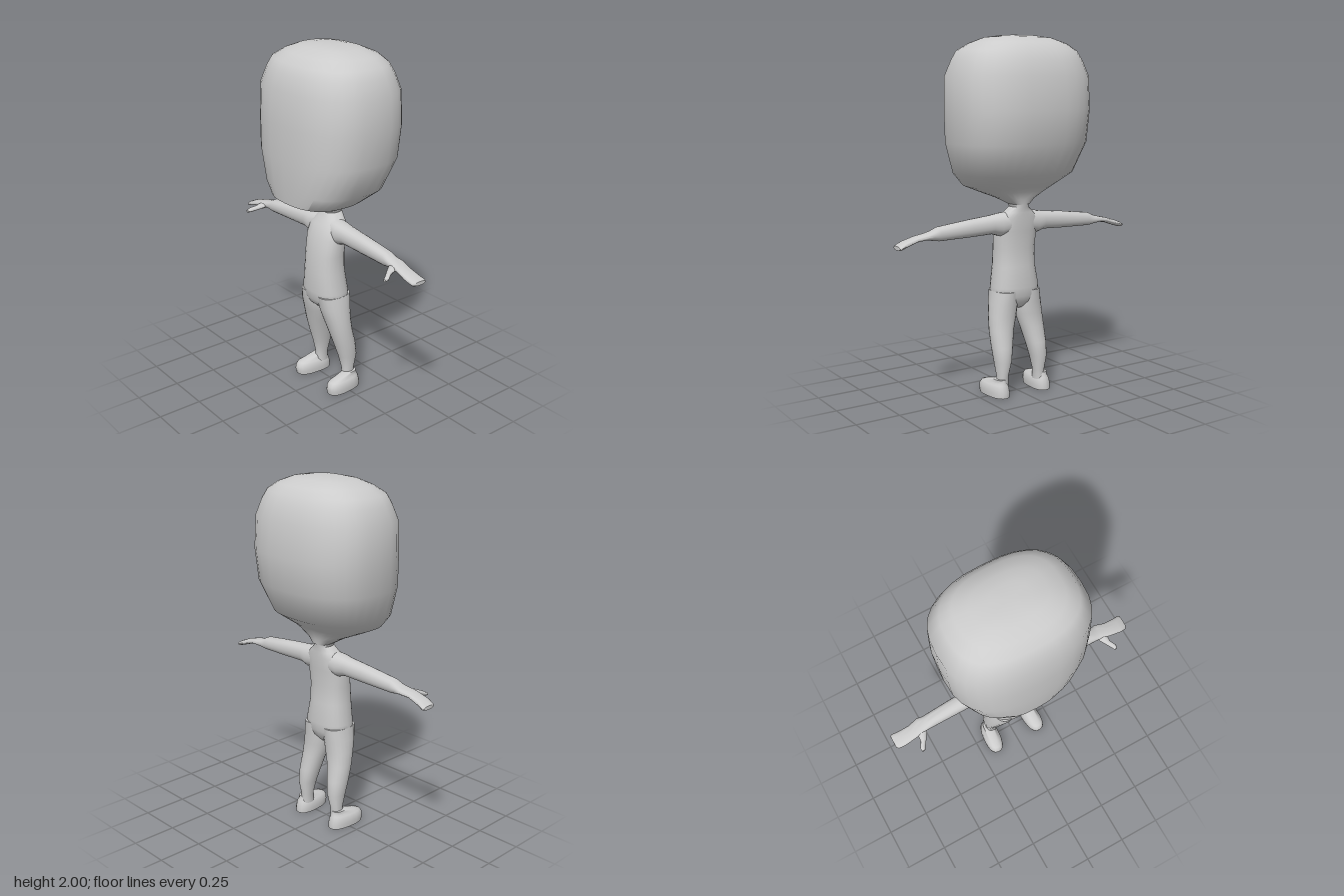
import * as THREE from 'three';
import { toCreasedNormals } from 'three/addons/utils/BufferGeometryUtils.js';

const skin = new THREE.MeshStandardMaterial({ color: 0xcccccc });
skin.name = 'plain grey';

// Skins rounded sections along an axis (0 = x, 1 = y, 2 = z).
// Section: [position, aMin, aMax, bMin, bMax], a and b being the next two axes in turn.
// power 2 gives ellipses, higher is boxier; side -1 mirrors the result in x.
function loft(axis, sections, { power = 2, sides = 20, side = 1, crease = 0.9 } = {}) {
  const a = (axis + 1) % 3, b = (axis + 2) % 3;
  const positions = [], index = [];
  const add = (p, u, v) => {
    const point = [0, 0, 0];
    point[axis] = p; point[a] = u; point[b] = v;
    point[0] *= side;
    positions.push(...point);
  };
  const tri = (i, j, k) => (side > 0 ? index.push(i, j, k) : index.push(i, k, j));
  const round = (t) => Math.sign(t) * Math.abs(t) ** (2 / power);
  for (const [p, a0, a1, b0, b1] of sections) {
    for (let i = 0; i < sides; i++) {
      const t = (i / sides) * Math.PI * 2;
      add(p, (a0 + a1) / 2 + ((a1 - a0) / 2) * round(Math.cos(t)),
        (b0 + b1) / 2 + ((b1 - b0) / 2) * round(Math.sin(t)));
    }
  }
  const last = sections.length - 1;
  for (let r = 0; r < last; r++) {
    for (let i = 0; i < sides; i++) {
      const j = (i + 1) % sides, lo = r * sides, hi = lo + sides;
      tri(lo + i, lo + j, hi + j);
      tri(lo + i, hi + j, hi + i);
    }
  }
  // end caps
  for (const r of [0, last]) {
    const [p, a0, a1, b0, b1] = sections[r];
    const centre = positions.length / 3;
    add(p, (a0 + a1) / 2, (b0 + b1) / 2);
    for (let i = 0; i < sides; i++) {
      const j = (i + 1) % sides;
      if (r === 0) tri(centre, r * sides + j, r * sides + i);
      else tri(centre, r * sides + i, r * sides + j);
    }
  }
  const geometry = new THREE.BufferGeometry();
  geometry.setAttribute('position', new THREE.Float32BufferAttribute(positions, 3));
  geometry.setIndex(index);
  return toCreasedNormals(geometry, crease);
}

// [y, zBack, zFront, half width]
const symmetric = (rows) => rows.map(([y, z0, z1, w]) => [y, z0, z1, -w, w]);

export function createModel() {
  const model = new THREE.Group();
  model.name = 'figure';
  const part = (name, geometry, parent = model) => {
    const mesh = new THREE.Mesh(geometry, skin);
    mesh.name = name;
    parent.add(mesh);
    return mesh;
  };

  // Large head with a flat face, sharp chin edge and sloping underside
  part('head', loft(1, symmetric([
    [1.08, -0.08, 0.05, 0.055],
    [1.11, -0.085, 0.13, 0.1],
    [1.15, -0.1, 0.235, 0.195],
    [1.175, -0.12, 0.298, 0.25],
    [1.25, -0.225, 0.306, 0.332],
    [1.42, -0.3, 0.315, 0.39],
    [1.6, -0.32, 0.312, 0.4],
    [1.78, -0.305, 0.3, 0.398],
    [1.865, -0.278, 0.272, 0.362],
    [1.915, -0.25, 0.245, 0.335],
    [1.955, -0.21, 0.19, 0.27],
    [1.985, -0.14, 0.125, 0.19],
    [1.997, -0.08, 0.07, 0.1],
    [2.0, -0.02, 0.02, 0.03],
  ]), { power: 2.6, sides: 32 }));

  // Torso, shoulders and neck
  part('torso', loft(1, symmetric([
    [0.49, -0.03, 0.07, 0.03],
    [0.525, -0.06, 0.11, 0.1],
    [0.56, -0.07, 0.127, 0.143],
    [0.61, -0.076, 0.132, 0.142],
    [0.73, -0.06, 0.13, 0.124],
    [0.83, -0.056, 0.122, 0.122],
    [0.93, -0.064, 0.104, 0.128],
    [1.0, -0.07, 0.075, 0.122],
    [1.035, -0.07, 0.05, 0.085],
    [1.065, -0.072, 0.035, 0.05],
    [1.1, -0.08, 0.06, 0.065],
    [1.14, -0.085, 0.06, 0.08],
  ]), { power: 2.4, sides: 24 }));

  for (const side of [1, -1]) {
    const label = side > 0 ? 'left' : 'right';

    // Arm running into a flat mitten hand: [x, yMin, yMax, zMin, zMax]
    part(label + 'Arm', loft(0, [
      [0.04, 0.92, 1.04, -0.06, 0.06],
      [0.12, 0.905, 1.032, -0.056, 0.066],
      [0.17, 0.92, 1.024, -0.048, 0.057],
      [0.3, 0.915, 1.012, -0.04, 0.052],
      [0.5, 0.911, 0.988, -0.031, 0.05],
      [0.54, 0.918, 0.97, -0.031, 0.05],
      [0.575, 0.925, 0.96, -0.038, 0.053],
      [0.63, 0.918, 0.948, -0.025, 0.06],
      [0.7, 0.895, 0.928, -0.03, 0.062],
      [0.735, 0.884, 0.914, -0.038, 0.055],
      [0.745, 0.887, 0.908, -0.03, 0.042],
    ], { power: 2.3, side }));

    // Thumb pointing forwards: [z, xMin, xMax, yMin, yMax]
    part(label + 'Thumb', loft(2, [
      [0.02, 0.545, 0.61, 0.922, 0.955],
      [0.055, 0.555, 0.61, 0.918, 0.948],
      [0.085, 0.576, 0.612, 0.91, 0.936],
      [0.115, 0.598, 0.632, 0.898, 0.924],
      [0.136, 0.612, 0.63, 0.896, 0.913],
    ], { sides: 10, side }));

    // Leg: [y, zBack, zFront, xInner, xOuter]
    part(label + 'Leg', loft(1, [
      [0.06, -0.075, 0.005, 0.092, 0.158],
      [0.115, -0.075, 0, 0.092, 0.154],
      [0.2, -0.092, 0.02, 0.073, 0.167],
      [0.28, -0.083, 0.045, 0.056, 0.172],
      [0.37, -0.064, 0.072, 0.034, 0.172],
      [0.45, -0.06, 0.095, 0.01, 0.166],
      [0.52, -0.066, 0.117, 0, 0.156],
      [0.59, -0.072, 0.128, 0.005, 0.143],
    ], { power: 2.2, side }));

    // Foot with a flat sole, turned slightly outwards
    const foot = part(label + 'Foot', loft(1, [
      [0, -0.1, 0.122, -0.052, 0.052],
      [0.025, -0.1, 0.128, -0.054, 0.054],
      [0.05, -0.094, 0.126, -0.052, 0.052],
      [0.07, -0.088, 0.112, -0.044, 0.044],
      [0.081, -0.082, 0.08, -0.033, 0.033],
      [0.1, -0.078, 0.005, -0.03, 0.03],
    ], { power: 2.5, side }));
    foot.position.x = side * 0.143;
    foot.rotation.y = side * 0.08;
  }
  return model;
}
